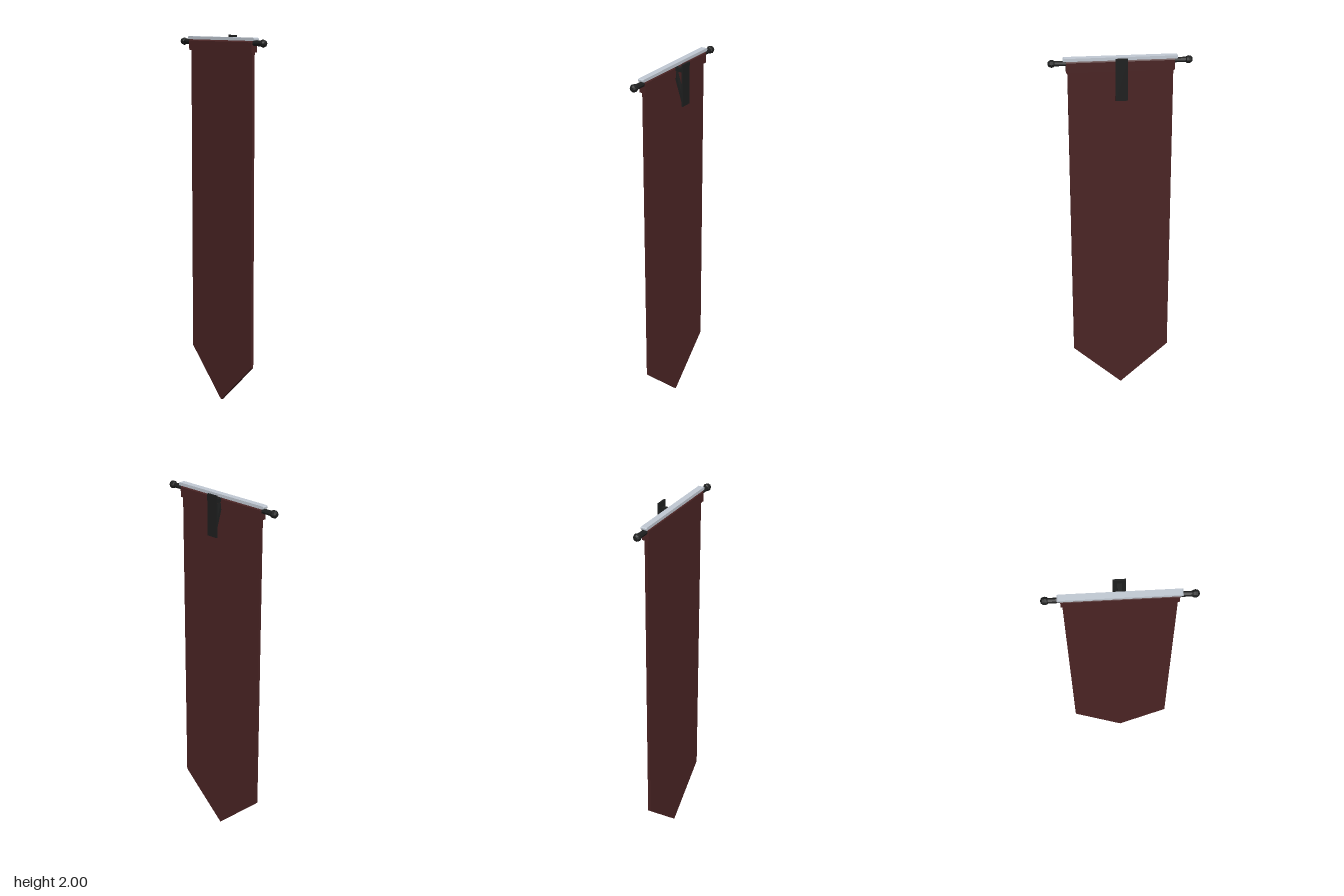
import * as THREE from 'three';

const mat = (name, color) => {
  const m = new THREE.MeshStandardMaterial({ color });
  m.name = name;
  return m;
};

export function createModel() {
  const group = new THREE.Group();
  const cloth = mat('dark red cloth', 0x4a2424);
  const iron = mat('black iron', 0x1e1f1f);
  const snow = mat('pale snow', 0xc2cad4);
  const Z = 0.025; // depth of the rod and cloth

  const add = (name, geometry, material, x, y, z) => {
    const mesh = new THREE.Mesh(geometry.index ? geometry.toNonIndexed() : geometry, material);
    mesh.geometry.computeVertexNormals(); // faceted
    mesh.name = name;
    mesh.position.set(x, y, z);
    group.add(mesh);
    return mesh;
  };
  const shape = (pts) => new THREE.Shape(pts.map(([x, y]) => new THREE.Vector2(x, y)));
  const extrude = (pts, depth) =>
    new THREE.ExtrudeGeometry(shape(pts), { depth, bevelEnabled: false }).translate(0, 0, -depth / 2);

  // Hanging cloth with a pointed end
  add('bannerCloth', extrude([[-0.268, 0.25], [0, 0], [0.268, 0.25], [0.268, 1.93], [-0.268, 1.93]], 0.016),
    cloth, 0, 0, Z);

  // Cloth sleeve folded around the rod
  const sleeve = extrude([[-0.0175, -0.03], [0.0175, -0.03], [0.0175, 0.022], [0.01, 0.03],
    [-0.01, 0.03], [-0.0175, 0.022]], 0.55).rotateY(Math.PI / 2);
  add('clothSleeve', sleeve, cloth, 0, 1.945, Z);

  // Snow strip lying along the top, narrower at its upper edge
  const snowGeo = extrude([[-0.285, -0.008], [0.285, -0.008], [0.29, -0.003], [0.29, 0.004],
    [0.284, 0.008], [-0.284, 0.008], [-0.29, 0.004], [-0.29, -0.003]], 0.032);
  add('snowStrip', snowGeo, snow, 0, 1.982, Z);

  // Rod with a knob at each end
  add('rod', new THREE.CylinderGeometry(0.014, 0.014, 0.68, 8).rotateZ(Math.PI / 2), iron, 0, 1.962, Z);
  for (const side of [-1, 1]) {
    add(side > 0 ? 'leftKnob' : 'rightKnob',
      new THREE.SphereGeometry(0.021, 8, 6).rotateZ(Math.PI / 2), iron, side * 0.346, 1.962, Z);
  }

  // Wall bracket: plate, arm and sloping brace
  add('wallPlate', new THREE.BoxGeometry(0.062, 0.22, 0.009), iron, 0, 1.89, -0.0445);
  add('bracketArm', new THREE.BoxGeometry(0.022, 0.02, 0.065), iron, 0, 1.962, -0.01);
  const top = new THREE.Vector2(0.016, 1.95), foot = new THREE.Vector2(-0.036, 1.788);
  const brace = add('bracketBrace', new THREE.BoxGeometry(0.02, top.distanceTo(foot), 0.014),
    iron, 0, (top.y + foot.y) / 2, (top.x + foot.x) / 2);
  brace.rotation.x = Math.atan2(top.x - foot.x, top.y - foot.y);

  return group;
}
